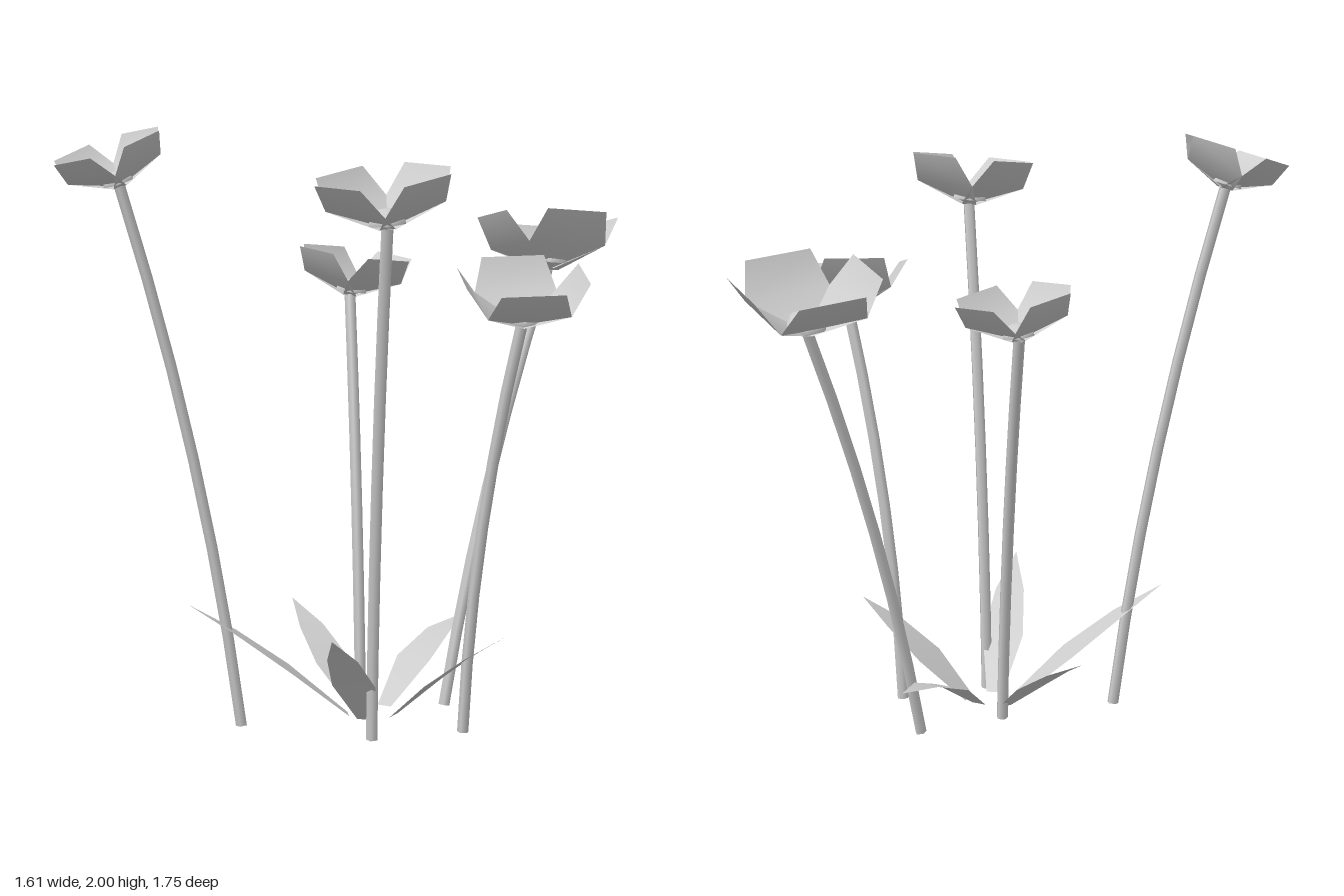
import * as THREE from 'three';

const lightGrey = new THREE.MeshStandardMaterial({ color: 0xcccccc, side: THREE.DoubleSide });
lightGrey.name = 'lightGrey';

// Ribbon of quads through rows of [left, right] points
function ribbon(rows) {
  const pos = rows.flatMap(([a, b]) => [...a.toArray(), ...b.toArray()]);
  const index = [];
  for (let i = 0; i < rows.length - 1; i++) {
    const k = i * 2;
    index.push(k, k + 1, k + 2, k + 1, k + 3, k + 2);
  }
  const g = new THREE.BufferGeometry();
  g.setAttribute('position', new THREE.Float32BufferAttribute(pos, 3));
  g.setIndex(index);
  g.computeVertexNormals();
  return g;
}

function add(parent, geometry, name) {
  const mesh = new THREE.Mesh(geometry, lightGrey);
  mesh.name = name;
  parent.add(mesh);
  return mesh;
}

// Petal along +x: [distance, height, half width]
const petalGeometry = ribbon([[0, 0, 0.035], [0.125, 0.065, 0.125], [0.185, 0.155, 0.096]].map(
  ([r, h, w]) => [new THREE.Vector3(r, h, w), new THREE.Vector3(r, h, -w)]));
// Low dome in the middle of the cup
const domeGeometry = new THREE.SphereGeometry(0.063, 6, 4, 0, Math.PI * 2, 0, Math.PI / 2).scale(1, 0.7, 1);

// Curved five-sided stem with a four-petalled cup at its top, leaning by lean = [x, z]
function flower({ foot, top, scale, turn, lean }) {
  const group = new THREE.Group();
  group.name = 'flower';
  const a = new THREE.Vector3(...foot), b = new THREE.Vector3(...top);
  const bend = a.clone().lerp(b, 0.5);
  const out = new THREE.Vector3(b.x - a.x, 0, b.z - a.z).normalize();
  bend.addScaledVector(out, -0.08);
  const curve = new THREE.QuadraticBezierCurve3(a, bend, b);
  add(group, new THREE.TubeGeometry(curve, 6, 0.02, 5), 'stem');

  const head = new THREE.Group();
  head.name = 'flowerHead';
  head.position.copy(b);
  head.scale.setScalar(scale);
  head.quaternion.setFromUnitVectors(
    new THREE.Vector3(0, 1, 0), new THREE.Vector3(lean[0], 1, lean[1]).normalize());
  for (let i = 0; i < 4; i++) {
    add(head, petalGeometry, 'petal').rotation.y = THREE.MathUtils.degToRad(turn + i * 90);
  }
  add(head, domeGeometry, 'flowerCentre').position.y = 0.015;
  group.add(head);
  return group;
}

// Arching leaf, widest before its middle and pointed at the tip
function leaf({ from, to, lift, width }) {
  const a = new THREE.Vector3(...from), b = new THREE.Vector3(...to);
  const side = new THREE.Vector3(b.z - a.z, 0, a.x - b.x).normalize();
  const rows = [[0, 0.4], [0.37, 1], [0.7, 0.7], [1, 0.01]].map(([t, w]) => {
    const p = a.clone().lerp(b, t);
    p.y += lift * 4 * t * (1 - t);
    const half = w * width / 2;
    return [p.clone().addScaledVector(side, half), p.clone().addScaledVector(side, -half)];
  });
  return ribbon(rows);
}

export function createModel() {
  const model = new THREE.Group();
  model.name = 'flowerCluster';

  const flowers = [
    { foot: [-0.335, 0.01, 0.37], top: [-0.6, 1.815, 0.645], scale: 0.88, turn: 81, lean: [-0.22, 0.25] },
    { foot: [-0.055, 0.01, 0.06], top: [-0.22, 1.41, -0.155], scale: 0.94, turn: 70, lean: [0.11, -0.08] },
    { foot: [0.345, 0.01, 0.075], top: [0.575, 1.385, 0.12], scale: 1.06, turn: 37, lean: [0.12, 0.2] },
    { foot: [0.13, 0.01, 0.305], top: [0.31, 1.71, 0.515], scale: 1.05, turn: 74, lean: [-0.02, 0.15] },
    { foot: [0.13, 0.01, -0.19], top: [0.29, 1.48, -0.635], scale: 1.17, turn: 54, lean: [-0.1, -0.19] },
  ];
  for (const f of flowers) model.add(flower(f));

  const leaves = [
    { from: [0.03, 0.05, 0.05], to: [0.04, 0.26, -0.48], lift: 0.05, width: 0.13 },
    { from: [0.1, 0.04, 0.11], to: [0.51, 0.355, 0.09], lift: 0.02, width: 0.155 },
    { from: [-0.05, 0.04, 0.09], to: [-0.45, 0.33, -0.14], lift: 0.02, width: 0.13 },
    { from: [-0.04, 0.04, 0.17], to: [-0.46, 0.43, 0.49], lift: 0.02, width: 0.14 },
    { from: [0.045, 0.04, 0.2], to: [0.18, 0.415, 0.64], lift: 0.02, width: 0.145 },
  ];
  for (const l of leaves) add(model, leaf(l), 'leaf');

  return model;
}
